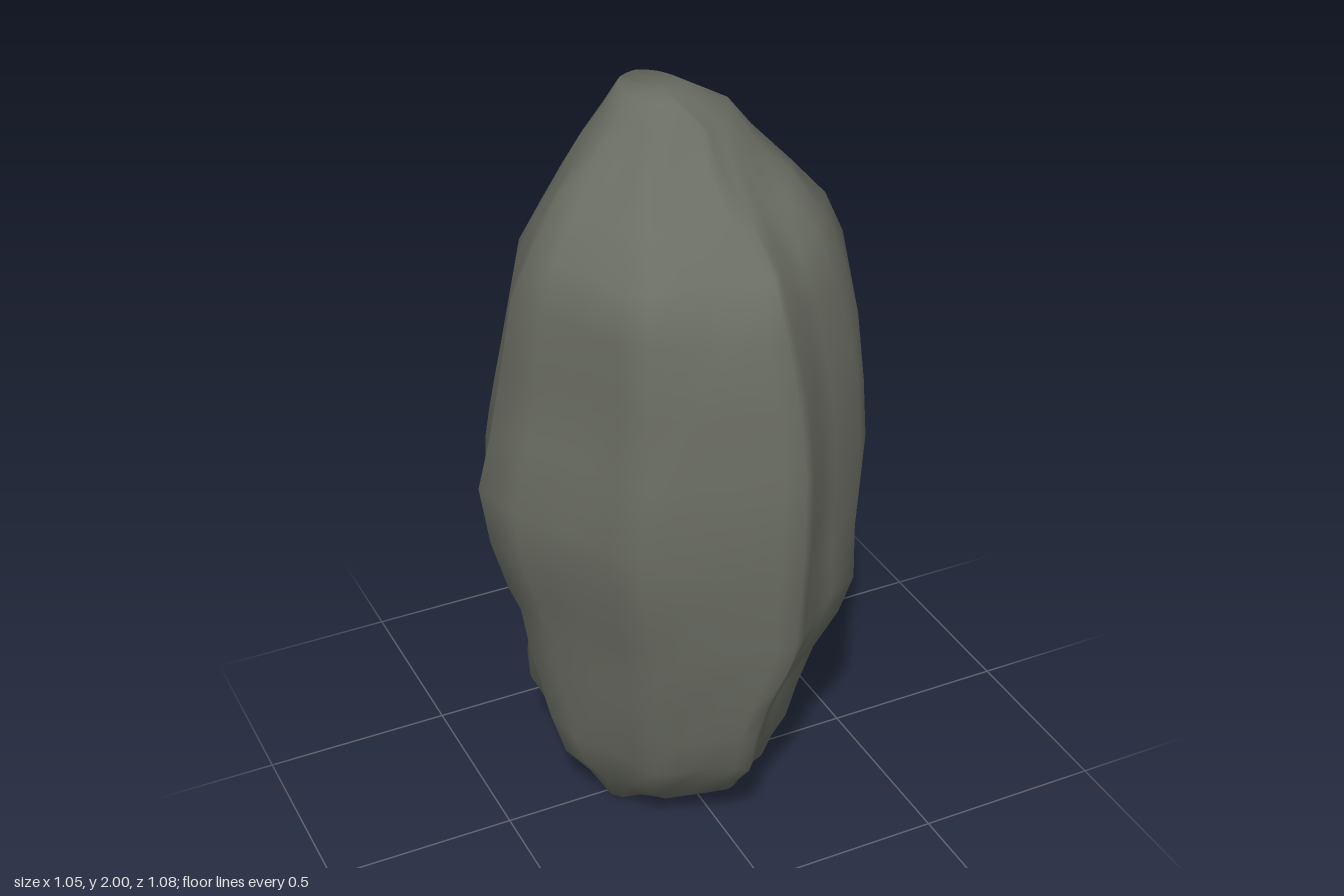
import * as THREE from 'three';

// Plan outline of the boulder at its widest, as [x, z] from the back, clockwise seen from above
const OUTLINE = [
  [0, -0.54], [0.07, -0.52], [0.18, -0.45], [0.28, -0.37], [0.35, -0.28], [0.41, -0.19], [0.52, 0.01],
  [0.45, 0.16], [0.35, 0.31], [0.25, 0.36], [0.18, 0.42], [0.11, 0.505], [0.07, 0.54], [0.02, 0.525],
  [-0.10, 0.49], [-0.20, 0.455], [-0.30, 0.42], [-0.35, 0.34], [-0.41, 0.21], [-0.49, 0.10],
  [-0.525, -0.03], [-0.45, -0.17], [-0.41, -0.27], [-0.36, -0.37], [-0.29, -0.43], [-0.15, -0.48],
];

// Cross-sections: [y, min x, max x, min z, max z]
const LEVELS = [
  [0.06, -0.21, 0.24, -0.14, 0.20],
  [0.11, -0.27, 0.26, -0.18, 0.25],
  [0.20, -0.33, 0.27, -0.27, 0.33],
  [0.30, -0.36, 0.285, -0.37, 0.40],
  [0.42, -0.385, 0.30, -0.42, 0.435],
  [0.53, -0.41, 0.345, -0.455, 0.465],
  [0.65, -0.43, 0.41, -0.495, 0.50],
  [0.74, -0.46, 0.47, -0.515, 0.515],
  [0.88, -0.50, 0.50, -0.535, 0.53],
  [1.04, -0.525, 0.523, -0.54, 0.54],
  [1.22, -0.49, 0.505, -0.515, 0.53],
  [1.40, -0.465, 0.475, -0.455, 0.50],
  [1.57, -0.44, 0.42, -0.39, 0.47],
  [1.69, -0.38, 0.37, -0.335, 0.40],
  [1.77, -0.30, 0.30, -0.30, 0.27],
  [1.85, -0.22, 0.22, -0.27, 0.15],
  [1.93, -0.15, 0.165, -0.235, 0.08],
  [1.985, -0.10, 0.06, -0.20, 0.02],
];

// Hollows (positive) and swellings (negative): [x, y, z, radius, depth]
const DENTS = [
  [0.40, 0.64, 0.00, 0.14, 0.04],
  [0.19, 1.68, -0.27, 0.14, 0.05],
  [0.34, 1.62, -0.17, 0.15, -0.07],
  [-0.42, 1.35, 0.18, 0.18, 0.02],
  [-0.28, 1.72, 0.26, 0.14, -0.04],
  [0.26, 0.68, 0.32, 0.18, -0.04],
  [0.20, 0.40, 0.27, 0.18, -0.03],
  [0.23, 0.40, -0.31, 0.20, -0.085],
  [0.34, 0.68, -0.32, 0.16, -0.03],
  [-0.25, 0.25, -0.25, 0.17, -0.08],
];

function dent(p) {
  let push = 0;
  for (const [x, y, z, radius, depth] of DENTS) {
    const d2 = (p.x - x) ** 2 + (p.y - y) ** 2 + (p.z - z) ** 2;
    push += depth * Math.exp(-d2 / (radius * radius));
  }
  const k = 1 - push / Math.hypot(p.x, p.z);
  p.x *= k;
  p.z *= k;
}

function rockGeometry() {
  const n = OUTLINE.length;
  const positions = [];
  const index = [];

  // Fit the outline into each cross-section, then press in the hollows
  LEVELS.forEach(([y, x0, x1, z0, z1], i) => {
    const roundness = 0.6 * THREE.MathUtils.smoothstep(y, 1.7, 1.9);
    OUTLINE.forEach(([ox, oz], j) => {
      // The crown is rounder than the body
      const r = THREE.MathUtils.lerp(1, 0.53 / Math.hypot(ox, oz), roundness);
      const p = new THREE.Vector3(
        (x0 + x1) / 2 + (x1 - x0) / 2 * r * ox / 0.5225,
        y,
        (z0 + z1) / 2 + (z1 - z0) / 2 * r * oz / 0.54
      );
      if (i === 0) {
        // The foot dips to a blunt toe on one side
        p.y -= 0.06 * Math.exp(-((p.x + 0.2) ** 2 + (p.z - 0.01) ** 2) / 0.008);
      } else if (i < LEVELS.length - 2) {
        p.y += 0.008 * Math.sin(j * 1.9 + i * 2.3);
        dent(p);
      }
      positions.push(p.x, p.y, p.z);
    });
  });

  for (let i = 0; i < LEVELS.length - 1; i++) {
    for (let j = 0; j < n; j++) {
      const a = i * n + j;
      const b = i * n + (j + 1) % n;
      index.push(a, a + n, b, b, a + n, b + n);
    }
  }

  // Close the foot and the crown
  const foot = positions.length / 3;
  positions.push(0, 0.04, 0.02, -0.02, 2, -0.05);
  const last = (LEVELS.length - 1) * n;
  for (let j = 0; j < n; j++) {
    const k = (j + 1) % n;
    index.push(foot, j, k, foot + 1, last + k, last + j);
  }

  const geometry = new THREE.BufferGeometry();
  geometry.setAttribute('position', new THREE.Float32BufferAttribute(positions, 3));
  geometry.setIndex(index);
  geometry.computeVertexNormals();
  return geometry;
}

export function createModel() {
  const group = new THREE.Group();
  group.name = 'standingRock';
  const stone = new THREE.MeshStandardMaterial({ color: 0x6a6d63 });
  stone.name = 'stone grey';
  const rock = new THREE.Mesh(rockGeometry(), stone);
  rock.name = 'rock';
  group.add(rock);
  return group;
}
